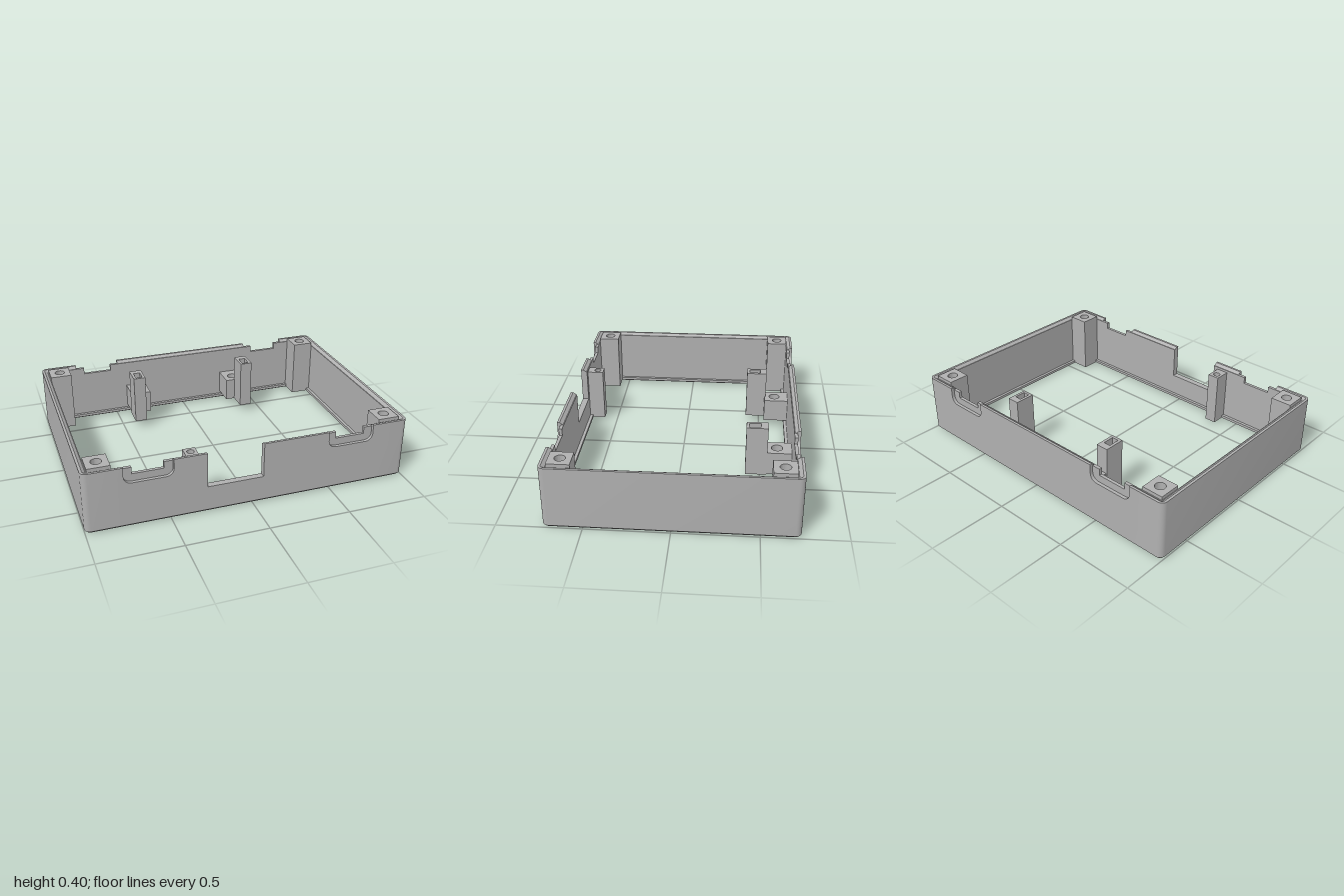
import * as THREE from 'three';
import { toCreasedNormals } from 'three/addons/utils/BufferGeometryUtils.js';

const HX = 1, HZ = 0.73, R = 0.035; // half sizes and outer corner radius
const TOP = 0.39, LEDGE = 0.375;

// Wall cross-section as [inset, y]; cut lowers the top, recess thins the outside above recessY
function profile(cut = TOP, recessY = null) {
  const d = recessY === null ? 0 : 0.02;
  const rim = recessY === null ? TOP : LEDGE;
  const rb = recessY === null ? TOP : recessY;
  return [
    [0.015, 0], [0, 0.015], [0, rb], [d, rb], [d, rim], [Math.max(0.015, d), rim],
    [0.035, LEDGE], [0.04, LEDGE],
    [0.04, 0.03], [0.06, 0.03], [0.06, 0.012], [0.04, 0.012], [0.04, 0],
  ].map(([i, y]) => [i, Math.min(y, cut)]);
}

// Stations along a long wall, from -x to +x, as { x, prof }
function longWall(withOpening) {
  const list = [];
  const r = 0.045, w = 0.145, hole = 0.0925, floor = 0.287;
  const recess = (cx) => {
    const rb = (u) => {
      const e = Math.min(w - Math.abs(u), r);
      return floor + r - Math.sqrt(Math.max(0, r * r - (r - e) ** 2));
    };
    const us = [];
    for (let k = 0; k <= 6; k++) us.push(-w + r * (1 - Math.cos((k / 6) * Math.PI / 2)));
    list.push({ x: cx - w, prof: profile() });
    us.forEach((u) => list.push({ x: cx + u, prof: profile(TOP, rb(u)) }));
    // cable hole through the wall
    list.push({ x: cx - hole, prof: profile(TOP, floor) }, { x: cx - hole, prof: profile(0.333, floor) });
    list.push({ x: cx + hole, prof: profile(0.333, floor) }, { x: cx + hole, prof: profile(TOP, floor) });
    us.reverse().forEach((u) => list.push({ x: cx - u, prof: profile(TOP, rb(u)) }));
    list.push({ x: cx + w, prof: profile() });
  };
  recess(-0.622);
  if (withOpening) {
    list.push({ x: -0.28, prof: profile() }, { x: -0.28, prof: profile(0.17) });
    list.push({ x: 0.065, prof: profile(0.17) }, { x: 0.065, prof: profile() });
  }
  recess(0.622);
  return list;
}

// Loft the wall cross-section round the rounded rectangle
function frameGeometry() {
  const rings = [];
  const corner = (sx, sz, start) => {
    for (let k = 0; k <= 6; k++) {
      const a = start - (k / 6) * Math.PI / 2;
      rings.push(profile().map(([i, y]) => {
        const rr = Math.max(R - i, 0);
        return new THREE.Vector3(
          sx * (HX - i - rr) + Math.cos(a) * rr, y, sz * (HZ - i - rr) + Math.sin(a) * rr);
      }));
    }
  };
  const wall = (stations, sz) => stations.forEach(({ x, prof }) =>
    rings.push(prof.map(([i, y]) => new THREE.Vector3(x, y, sz * (HZ - i)))));

  wall(longWall(true), 1);
  corner(1, 1, Math.PI / 2);
  corner(1, -1, 0);
  wall(longWall(false).reverse(), -1);
  corner(-1, -1, -Math.PI / 2);
  corner(-1, 1, -Math.PI);

  const pos = [];
  const tri = (a, b, c) => {
    const area = b.clone().sub(a).cross(c.clone().sub(a)).length();
    if (area > 1e-9) for (const p of [a, b, c]) pos.push(p.x, p.y, p.z);
  };
  rings.forEach((A, s) => {
    const B = rings[(s + 1) % rings.length];
    A.forEach((p, j) => {
      const k = (j + 1) % A.length;
      tri(p, B[j], B[k]);
      tri(p, B[k], A[k]);
    });
  });
  const g = new THREE.BufferGeometry();
  g.setAttribute('position', new THREE.Float32BufferAttribute(pos, 3));
  return toCreasedNormals(g, Math.PI / 6);
}

function rectPath(path, x0, x1, z0, z1) {
  path.moveTo(x0, z0);
  path.lineTo(x1, z0);
  path.lineTo(x1, z1);
  path.lineTo(x0, z1);
  path.closePath();
  return path;
}

const roundHole = (x, z, r) => new THREE.Path().absarc(x, z, r, 0, Math.PI * 2, true);

// Upright block with a vertical hole
function blockGeometry(x0, x1, y0, y1, z0, z1, hole) {
  const shape = rectPath(new THREE.Shape(), x0, x1, z0, z1);
  shape.holes.push(hole);
  const g = new THREE.ExtrudeGeometry(shape, { depth: y1 - y0, bevelEnabled: false, curveSegments: 24 });
  g.rotateX(Math.PI / 2).translate(0, y1, 0);
  return toCreasedNormals(g, Math.PI / 6);
}

export function createModel() {
  const group = new THREE.Group();
  const grey = new THREE.MeshStandardMaterial({ color: 0xb0b0b0 });
  grey.name = 'casingGrey';
  const add = (name, geometry) => {
    const m = new THREE.Mesh(geometry, grey);
    m.name = name;
    group.add(m);
    return m;
  };

  add('frameWall', frameGeometry());

  // Corner screw posts with blind holes at both ends
  for (const sx of [-1, 1]) for (const sz of [-1, 1]) {
    const x = sx * 0.8925, z = sz * 0.6225, h = 0.0675;
    add('cornerPost', blockGeometry(x - h, x + h, 0.012, 0.397, z - h, z + h, roundHole(x, z, 0.032)));
    add('cornerPostPlug', new THREE.CylinderGeometry(0.032, 0.032, 0.15, 24)).position.set(x, 0.2, z);
  }

  // Rear standoffs and the slotted posts in front of them
  for (const s of [-1, 1]) {
    const x = s * 0.353, xs = s * 0.387;
    add('rearStandoff', blockGeometry(x - 0.067, x + 0.067, 0.05, 0.2, -0.695, -0.532, roundHole(x, -0.6, 0.035)));
    const slot = rectPath(new THREE.Path(), xs - 0.022, xs + 0.022, -0.497, -0.425);
    add('slottedPost', blockGeometry(xs - 0.04, xs + 0.04, 0.05, 0.372, -0.54, -0.408, slot));
  }

  // Single post beside the front opening
  add('frontPost', blockGeometry(-0.388, -0.312, 0.012, 0.36, 0.587, 0.692, roundHole(-0.35, 0.627, 0.022)));

  return group;
}
